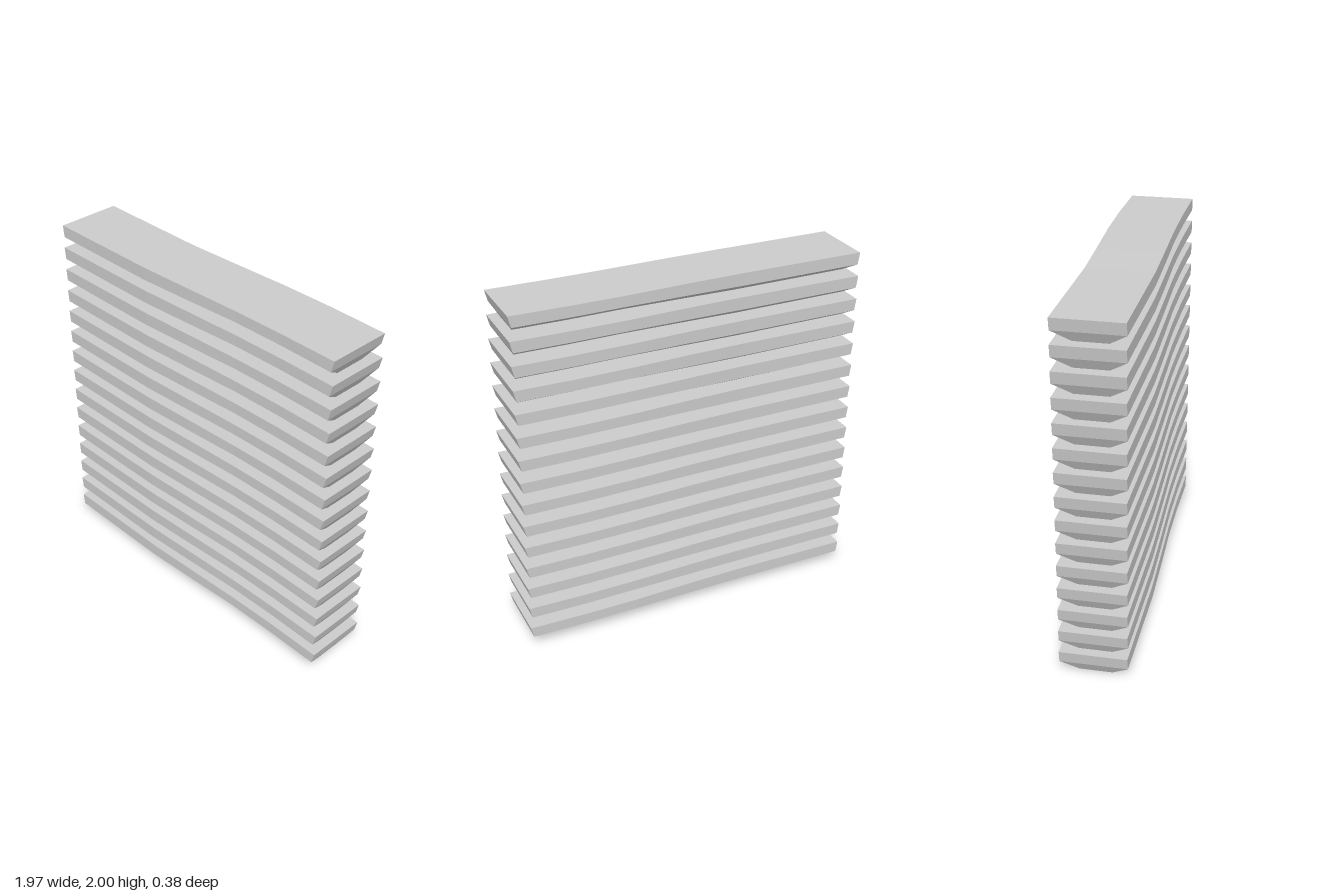
import * as THREE from 'three';

const COUNT = 15, PITCH = 0.1335;
// Stations along a slat: [x, vertical wave, depth wave]
const STATIONS = [
  [-0.986, 0.0, 0.8], [-0.65, -0.5, -0.1], [-0.3, -1, -1], [0, -0.1, -0.3],
  [0.35, 1, 0.9], [0.65, 0.8, 0.8], [0.983, 0.5, -0.5],
];

// Six-sided cross-section: flat top, upright sides, bevelled underside
function section([x, wy, wz]) {
  const front = 0.181 - 0.006 * wz, back = -0.181 - 0.008 * wz;
  const last = x > 0.9;
  const end = Math.abs(x) > 0.9;
  const midX = end ? x * (last ? 0.984 : 0.99) : x;
  const lowX = end ? x * (last ? 0.952 : 0.959) : x;
  const top = 0.131 + 0.002 * Math.min(wy, 0);
  const mid = 0.065 + 0.006 * wy;
  const low = 0.008 + 0.008 * wy;
  return [
    [x, top, back], [x, top, front],
    [midX, mid, front + 0.002], [lowX, low, front - 0.087],
    [lowX, low, back + 0.1], [midX, mid, back],
  ];
}

// Loft through the stations with bevelled end faces
function slatGeometry() {
  const n = 6, positions = STATIONS.flatMap(section).flat(), index = [];
  const quad = (a, b, c, d) => index.push(a, b, c, a, c, d);
  for (let s = 0; s < STATIONS.length - 1; s++) {
    for (let k = 0; k < n; k++) {
      const a = s * n + k, b = s * n + (k + 1) % n;
      quad(a, b, b + n, a + n);
    }
  }
  const e = (STATIONS.length - 1) * n;
  quad(e, e + 1, e + 2, e + 5);
  quad(e + 2, e + 3, e + 4, e + 5);
  quad(5, 2, 1, 0);
  quad(5, 4, 3, 2);
  const geometry = new THREE.BufferGeometry();
  geometry.setAttribute('position', new THREE.Float32BufferAttribute(positions, 3));
  geometry.setIndex(index);
  const faceted = geometry.toNonIndexed();
  faceted.computeVertexNormals();
  return faceted;
}

export function createModel() {
  const group = new THREE.Group();
  group.name = 'slatStack';
  const geometry = slatGeometry();
  const material = new THREE.MeshStandardMaterial({ color: 0xcccccc, flatShading: true });
  // Identical slats stacked with narrow gaps
  for (let i = 0; i < COUNT; i++) {
    const slat = new THREE.Mesh(geometry, material);
    slat.name = `slat${i + 1}`;
    slat.position.y = i * PITCH;
    group.add(slat);
  }
  return group;
}
